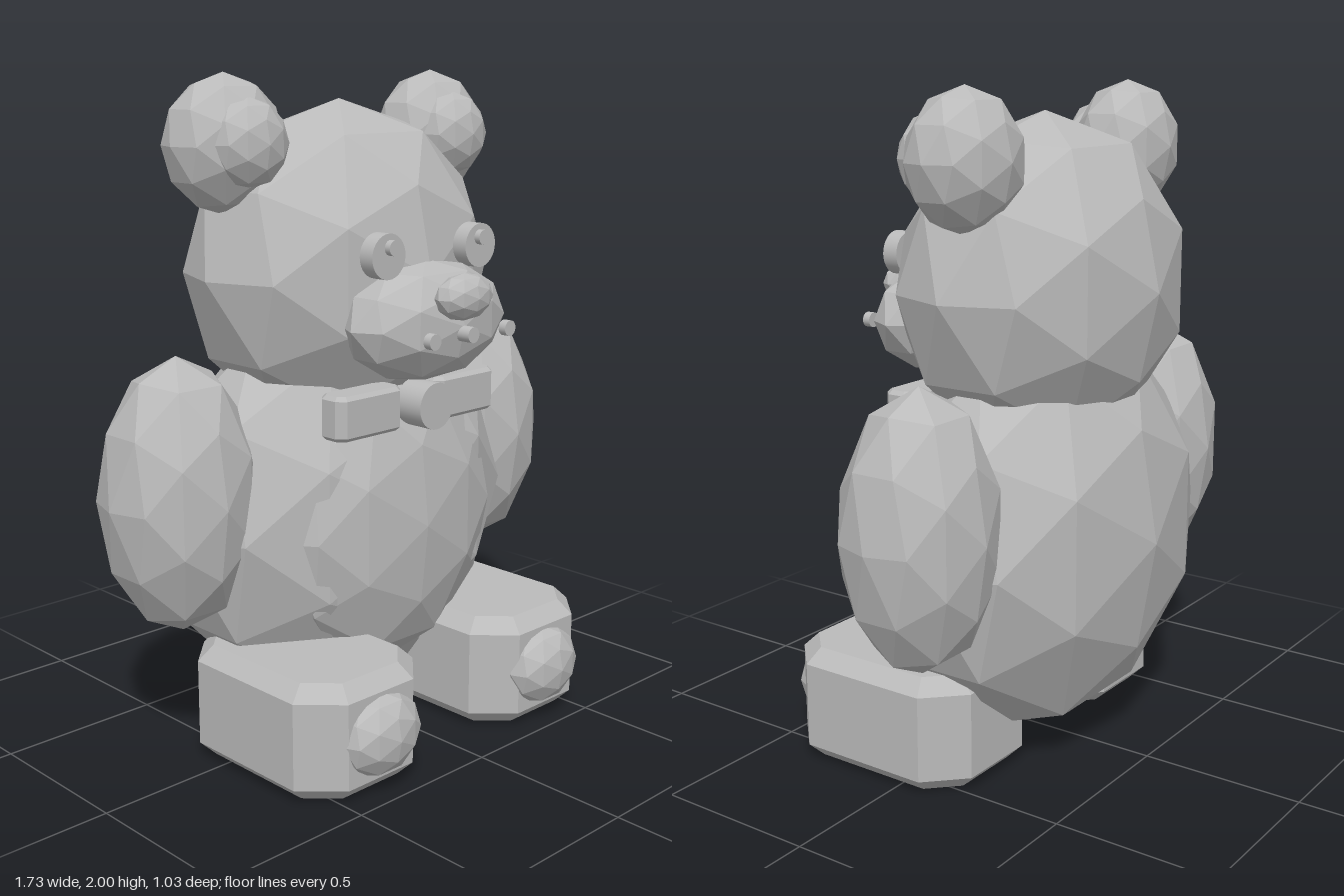
import * as THREE from 'three';

const grey = new THREE.MeshStandardMaterial({ color: 0xbababa });
grey.name = 'grey';

export function createModel() {
  const model = new THREE.Group();
  model.name = 'bear';

  const add = (name, geometry, x, y, z) => {
    const mesh = new THREE.Mesh(geometry, grey);
    mesh.name = name;
    mesh.position.set(x, y, z);
    model.add(mesh);
    return mesh;
  };

  // Faceted ellipsoid with one flat normal per face
  const blob = (name, [x, y, z], [rx, ry, rz]) => {
    const g = new THREE.IcosahedronGeometry(1, 1);
    g.scale(rx, ry, rz);
    g.computeVertexNormals();
    return add(name, g, x, y, z);
  };

  // Round button facing forward
  const disc = (name, x, y, z0, z1, r) => {
    const g = new THREE.CylinderGeometry(r, r, z1 - z0, 32);
    g.rotateX(Math.PI / 2);
    return add(name, g, x, y, (z0 + z1) / 2);
  };

  // Block with cut vertical corners and bevelled top and bottom rims
  const block = (name, [x, y, z], [hx, hy, hz], cut, bevel) => {
    const a = hx - bevel, b = hz - bevel, c = cut - bevel * 0.6;
    const shape = new THREE.Shape([
      [a, -b + c], [a, b - c], [a - c, b], [-a + c, b],
      [-a, b - c], [-a, -b + c], [-a + c, -b], [a - c, -b],
    ].map(([u, v]) => new THREE.Vector2(u, v)));
    const g = new THREE.ExtrudeGeometry(shape, {
      depth: 2 * (hy - bevel), bevelEnabled: true,
      bevelThickness: bevel, bevelSize: bevel, bevelSegments: 1,
    });
    g.translate(0, 0, -(hy - bevel));
    g.rotateX(-Math.PI / 2);
    return add(name, g, x, y, z);
  };

  // Torso and head
  blob('body', [0, 0.68, -0.13], [0.64, 0.64, 0.385]);
  blob('belly', [0, 0.67, 0.09], [0.43, 0.47, 0.18]);
  blob('head', [0, 1.42, -0.115], [0.52, 0.5, 0.39]);
  blob('muzzle', [0, 1.295, 0.25], [0.3, 0.178, 0.155]);
  blob('nose', [0, 1.38, 0.4], [0.105, 0.068, 0.06]);
  disc('middleMuzzleDot', 0, 1.275, 0.39, 0.44, 0.023);
  disc('bowKnot', 0, 1.045, 0.2, 0.3, 0.07);

  // Paired parts
  for (const [side, s] of [['left', 1], ['right', -1]]) {
    blob(side + 'Ear', [s * 0.42, 1.8, -0.14], [0.19, 0.2, 0.155]);
    blob(side + 'InnerEar', [s * 0.415, 1.805, -0.04], [0.128, 0.13, 0.095]);
    blob(side + 'Arm', [s * 0.62, 0.81, -0.13], [0.243, 0.41, 0.223]);
    disc(side + 'Eye', s * 0.19, 1.5, 0.24, 0.29, 0.065);
    disc(side + 'Pupil', s * 0.185, 1.525, 0.28, 0.31, 0.022);
    disc(side + 'MuzzleDot', s * 0.157, 1.275, 0.415, 0.44, 0.023);
    block(side + 'BowWing', [s * 0.2, 1.043, 0.19], [0.13, 0.066, 0.052], 0.025, 0.012);
    block(side + 'Foot', [s * 0.363, 0.175, 0.12], [0.237, 0.175, 0.32], 0.11, 0.045);
    blob(side + 'Toe', [s * 0.357, 0.175, 0.425], [0.143, 0.125, 0.09]);
  }
  return model;
}
